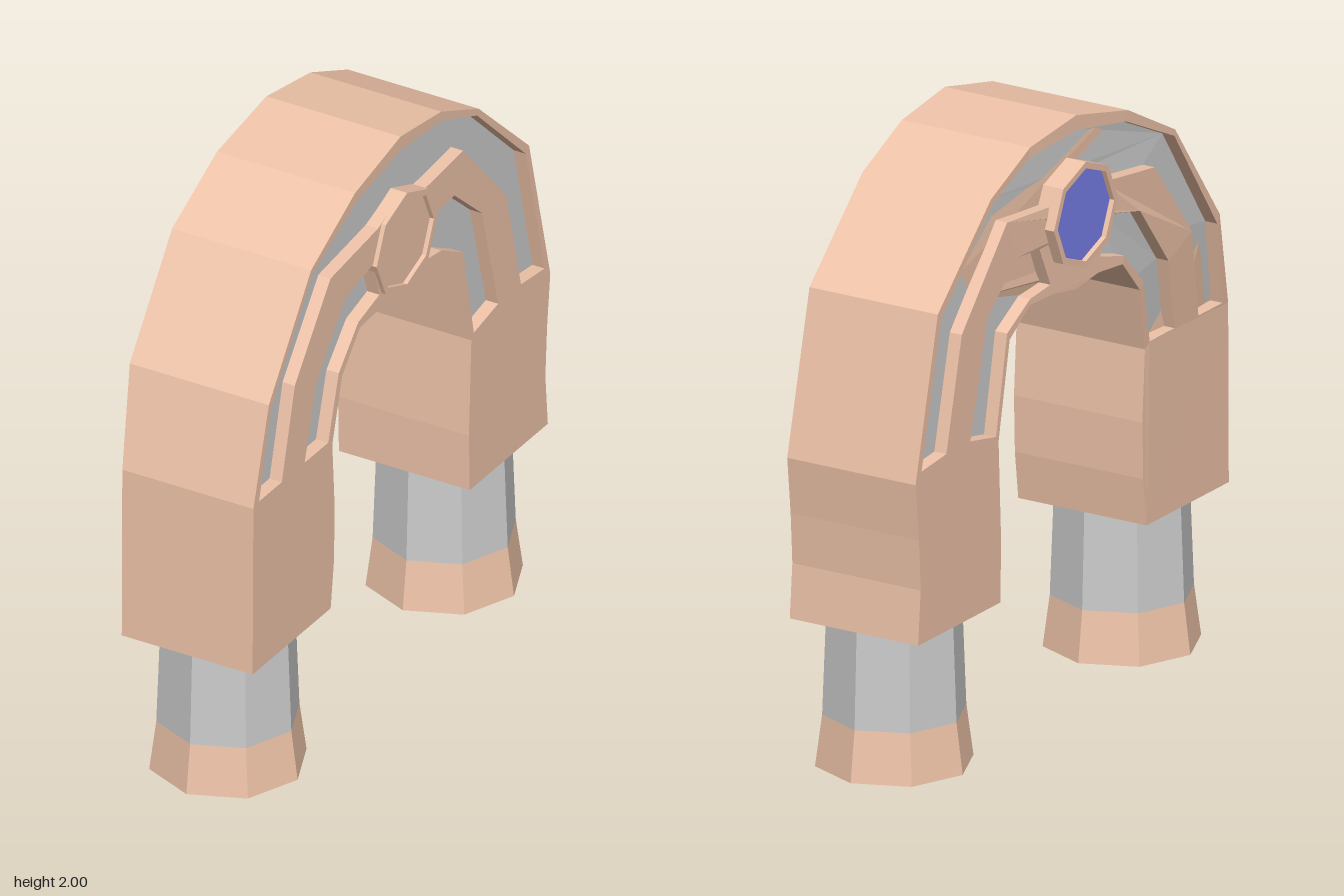
import * as THREE from 'three';

const paint = (color) => new THREE.MeshStandardMaterial({ color, flatShading: true });
const clamp = THREE.MathUtils.clamp;

// Side profiles are listed as [z, y]
const ARCH = [
  [0.91, 0.5], [0.905, 1.1], [0.81, 1.43], [0.55, 1.79], [0.28, 1.935], [0, 2],
  [-0.25, 1.965], [-0.48, 1.86], [-0.79, 1.57], [-0.92, 1.04], [-0.9, 0.85], [-0.89, 0.68], [-0.905, 0.5],
  [-0.425, 0.5], [-0.42, 0.7], [-0.435, 1.04], [-0.37, 1.36], [-0.25, 1.44], [-0.13, 1.44], [0, 1.42],
  [0.12, 1.44], [0.25, 1.43], [0.36, 1.31], [0.42, 1.09], [0.405, 0.85], [0.41, 0.66], [0.43, 0.5],
];
const CHANNELS = {
  OuterChannel: [
    [0.87, 1.11], [0.8, 1.4], [0.545, 1.77], [0.27, 1.9], [0, 1.95], [-0.26, 1.93], [-0.47, 1.84],
    [-0.77, 1.55], [-0.885, 1.075], [-0.74, 1.09], [-0.65, 1.46], [-0.385, 1.755], [-0.14, 1.735],
    [-0.01, 1.785], [0.14, 1.735], [0.43, 1.7], [0.65, 1.42], [0.73, 1.11],
  ],
  FrontInnerChannel: [
    [0.59, 1.11], [0.52, 1.36], [0.345, 1.58], [0.17, 1.62], [0.13, 1.49], [0.26, 1.455], [0.38, 1.33], [0.445, 1.11],
  ],
  BackInnerChannel: [
    [-0.2, 1.61], [-0.33, 1.62], [-0.5, 1.47], [-0.6, 1.09], [-0.45, 1.06], [-0.385, 1.385], [-0.25, 1.46], [-0.14, 1.475],
  ],
};

// Profile corners in the drawing plane, always counter-clockwise
function outline(points) {
  const corners = points.map(([z, y]) => new THREE.Vector2(-z, y));
  return THREE.ShapeUtils.isClockWise(corners) ? corners.reverse() : corners;
}

// Extrude a [z, y] profile from x0 to x1
function slab(points, x0, x1, holes = []) {
  const shape = new THREE.Shape(outline(points));
  shape.holes = holes.map((hole) => new THREE.Path(outline(hole).reverse()));
  const geometry = new THREE.ExtrudeGeometry(shape, { depth: x1 - x0, bevelEnabled: false });
  return geometry.rotateY(Math.PI / 2).translate(x0, 0, 0);
}

// Swell the right face a little towards the upper front
function swell(geometry) {
  const p = geometry.attributes.position;
  for (let i = 0; i < p.count; i++) {
    if (p.getX(i) >= 0) continue;
    const bulge = clamp((p.getZ(i) + 0.25) * 0.05, 0, 0.03) * clamp((p.getY(i) - 1.09) / 0.34, 0, 1);
    p.setX(i, p.getX(i) - bulge);
  }
  geometry.computeVertexNormals();
  return geometry;
}

// Upright octagon, a corner at the top
function octagon(rz, ry, cz, cy) {
  return Array.from({ length: 8 }, (_, i) => {
    const a = (i * Math.PI) / 4;
    return [cz + rz * Math.sin(a), cy + ry * Math.cos(a)];
  });
}

export function createModel() {
  const model = new THREE.Group();
  const tan = paint(0xeec3a8), grey = paint(0xcccccc), blue = paint(0x7780ea);
  const add = (name, geometry, material) => {
    const mesh = new THREE.Mesh(geometry, material);
    mesh.name = name;
    model.add(mesh);
    return mesh;
  };

  // Solid arch, with recessed channels on both sides
  add('archCore', swell(slab(ARCH, -0.18, 0.2)), tan);
  const sides = [
    { label: 'left', sign: 1, face: 0.248, setting: 0.263, gem: 0.246, cz: -0.015, cy: 1.615 },
    { label: 'right', sign: -1, face: 0.23, setting: 0.272, gem: 0.255, cz: 0.01, cy: 1.67 },
  ];
  for (const { label, sign, face, setting, gem, cz, cy } of sides) {
    const span = (inner, outer) => (sign > 0 ? [inner, outer] : [-outer, -inner]);
    add(label + 'ArchFace', swell(slab(ARCH, ...span(face - 0.05, face), Object.values(CHANNELS))), tan);
    for (const [name, points] of Object.entries(CHANNELS)) {
      add(label + name, swell(slab(points, ...span(face - 0.07, face - 0.045))), grey);
    }

    // Gem in its raised setting
    const opening = octagon(0.165, 0.155, cz, cy);
    add(label + 'GemSetting', slab(octagon(0.187, 0.177, cz, cy), ...span(face - 0.06, setting), [opening]), tan);
    add(label + 'Gem', slab(opening, ...span(face - 0.06, gem)), blue);
  }

  // Eight-sided legs with flared feet
  for (const side of [1, -1]) {
    const label = side > 0 ? 'front' : 'back';
    const shaft = add(label + 'Leg', new THREE.CylinderGeometry(0.218, 0.232, 0.37, 8), grey);
    shaft.position.set(0.012, 0.355, side * 0.665);
    const foot = add(label + 'Foot', new THREE.CylinderGeometry(0.232, 0.255, 0.17, 8), tan);
    foot.position.set(0.012, 0.085, side * 0.665);
  }
  return model;
}
